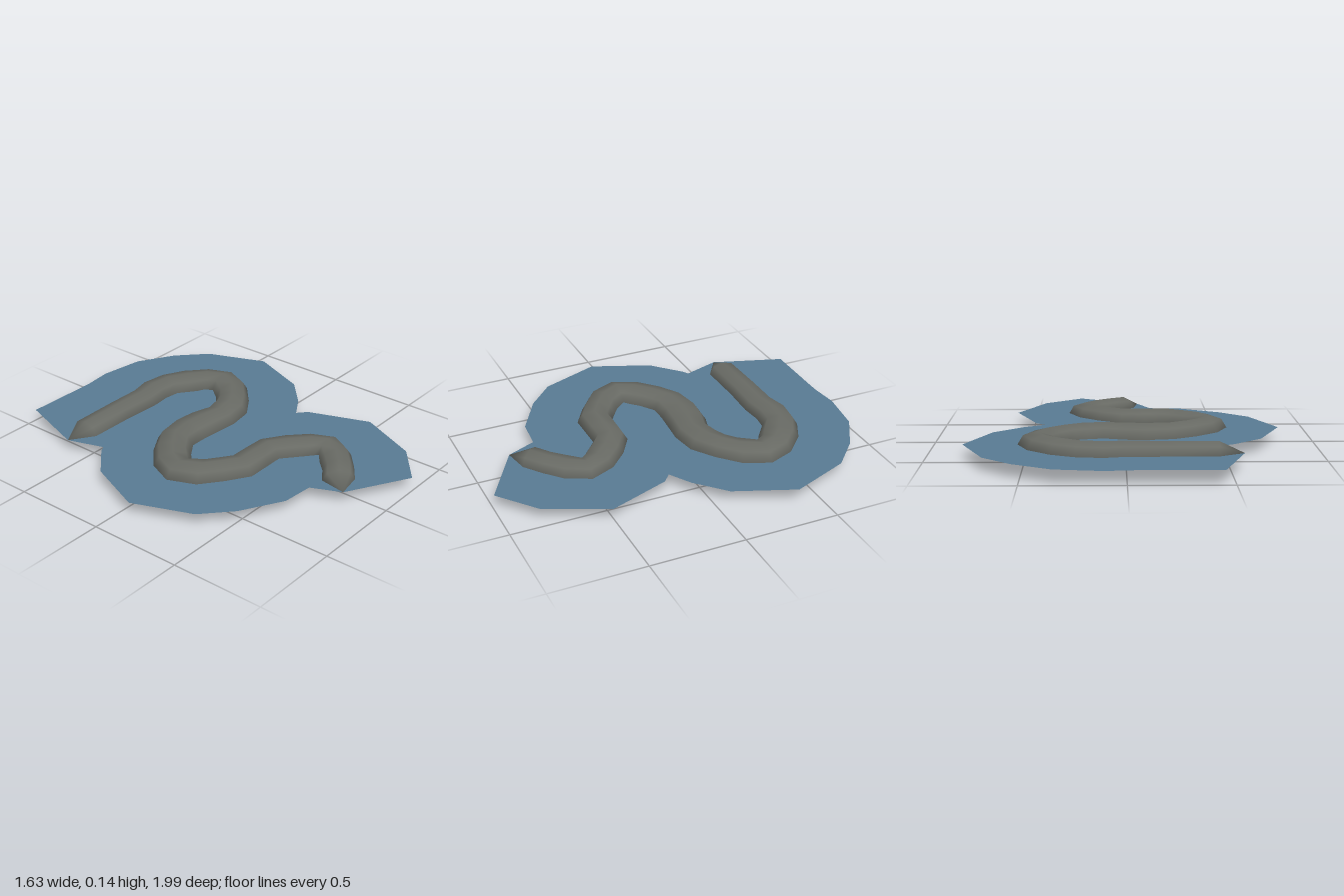
import * as THREE from 'three';

const MID = 0.068; // height of the tube axis and the sheet
const SIDES = 8;

// Outer and inner edge of the winding tube, seen from above: [xa, za, xb, zb]
const RINGS = [
  [-0.45, -0.69, -0.45, -0.53], [-0.19, -0.695, -0.19, -0.53], [0, -0.695, 0, -0.52],
  [0.11, -0.72, 0.11, -0.53], [0.25, -0.7, 0.19, -0.52], [0.37, -0.64, 0.28, -0.45],
  [0.485, -0.53, 0.32, -0.43], [0.54, -0.39, 0.345, -0.39], [0.485, -0.255, 0.285, -0.315],
  [0.37, -0.15, 0.24, -0.28], [0.25, -0.07, 0.19, -0.265], [0.11, -0.05, 0.11, -0.245],
  [0, -0.06, 0, -0.28], [-0.11, -0.07, -0.11, -0.29], [-0.2, -0.07, -0.255, -0.265],
  [-0.28, -0.015, -0.37, -0.195], [-0.315, 0.02, -0.485, -0.09], [-0.35, 0.05, -0.545, 0.05],
  [-0.3, 0.11, -0.485, 0.195], [-0.25, 0.145, -0.37, 0.285], [-0.2, 0.18, -0.25, 0.36],
  [-0.11, 0.18, -0.11, 0.36], [0.02, 0.185, -0.025, 0.36], [0.14, 0.26, 0.045, 0.42],
  [0.245, 0.36, 0.11, 0.475], [0.305, 0.495, 0.135, 0.495], [0.24, 0.625, 0.08, 0.54],
  [0.15, 0.705, 0.02, 0.6], [0.055, 0.775, -0.06, 0.655],
];
const TIPS = [[-0.575, -0.615], [-0.085, 0.8]];

// Corners of the flat sheet around the tube: [x, z]
const SHEET = [
  [-0.45, -0.99], [-0.1, -0.985], [-0.04, -0.985], [0.11, -1], [0.345, -0.965], [0.54, -0.85],
  [0.69, -0.705], [0.815, -0.39], [0.69, -0.075], [0.54, 0.065], [0.425, 0.135], [0.475, 0.18],
  [0.595, 0.505], [0.45, 0.825], [0.245, 0.99], [-0.085, 0.8], [-0.155, 0.645], [-0.325, 0.63],
  [-0.545, 0.505], [-0.695, 0.365], [-0.82, 0.05], [-0.695, -0.26], [-0.545, -0.4],
  [-0.51, -0.42], [-0.575, -0.615],
];

// Elliptical cross-sections joined into a smooth tube, closed by a point at each end
function tubeGeometry() {
  const pos = [], index = [];
  const last = RINGS.length - 1;
  RINGS.forEach(([xa, za, xb, zb], i) => {
    const off = i / last - 0.45;
    const ry = MID - 0.044 * off * off;
    for (let j = 0; j < SIDES; j++) {
      const t = (j / SIDES) * Math.PI * 2, c = Math.cos(t);
      pos.push((xa + xb) / 2 + c * (xa - xb) / 2, MID + ry * Math.sin(t), (za + zb) / 2 + c * (za - zb) / 2);
    }
  });
  const start = RINGS.length * SIDES;
  TIPS.forEach(([x, z]) => pos.push(x, MID, z));
  for (let j = 0; j < SIDES; j++) {
    const k = (j + 1) % SIDES;
    for (let i = 0; i < last; i++) {
      const a = i * SIDES, b = a + SIDES;
      index.push(a + j, a + k, b + j, a + k, b + k, b + j);
    }
    index.push(start, k, j);
    index.push(start + 1, last * SIDES + j, last * SIDES + k);
  }
  const g = new THREE.BufferGeometry();
  g.setAttribute('position', new THREE.Float32BufferAttribute(pos, 3));
  g.setIndex(index);
  g.computeVertexNormals();
  return g;
}

export function createModel() {
  const model = new THREE.Group();
  model.name = 'windingTubeOnSheet';

  const grey = new THREE.MeshStandardMaterial({ color: 0x686a64 });
  grey.name = 'warm grey';
  const blue = new THREE.MeshStandardMaterial({ color: 0x587a92, side: THREE.DoubleSide });
  blue.name = 'slate blue';

  const tube = new THREE.Mesh(tubeGeometry(), grey);
  tube.name = 'windingTube';

  // Flat sheet through the middle of the tube
  const shape = new THREE.Shape(SHEET.map(([x, z]) => new THREE.Vector2(x, -z)));
  const sheet = new THREE.Mesh(new THREE.ShapeGeometry(shape).rotateX(-Math.PI / 2), blue);
  sheet.position.y = MID;
  sheet.name = 'flatSheet';

  model.add(tube, sheet);
  return model;
}
